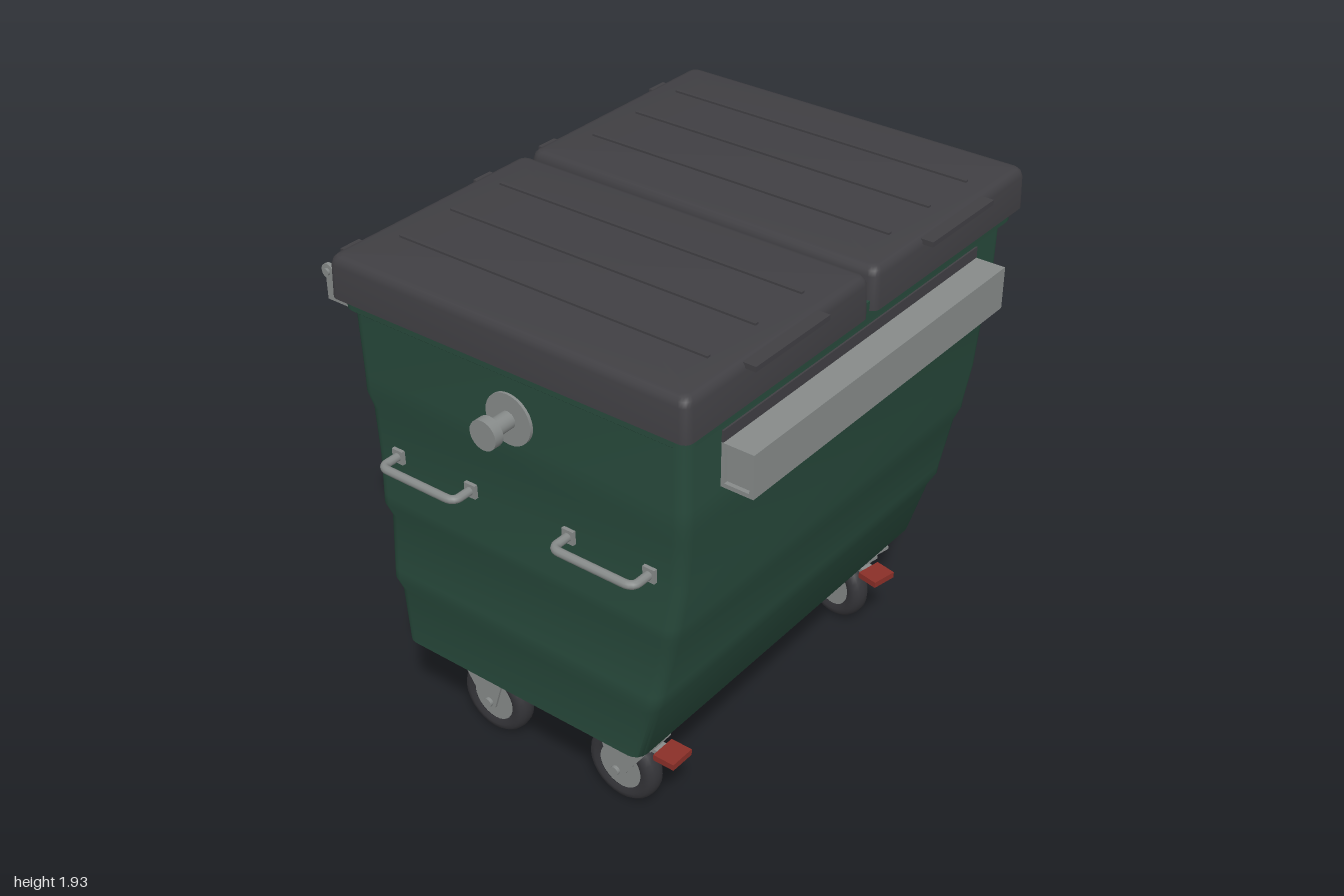
import * as THREE from 'three';
import { toCreasedNormals } from 'three/addons/utils/BufferGeometryUtils.js';

const paint = (name, color) => Object.assign(new THREE.MeshStandardMaterial({ color }), { name });

export function createModel() {
  const green = paint('bin green', 0x284a3c);
  const black = paint('lid black', 0x403f43);
  const rubber = paint('tyre rubber', 0x343438);
  const steel = paint('galvanised steel', 0x868a89);
  const red = paint('brake red', 0x8a2f28);
  const model = new THREE.Group();
  model.name = 'wheeledWasteContainer';

  const add = (parent, name, geo, mat, x = 0, y = 0, z = 0) => {
    const m = new THREE.Mesh(geo, mat);
    m.name = name;
    m.position.set(x, y, z);
    parent.add(m);
    return m;
  };
  const box = (parent, name, mat, w, h, d, x, y, z) =>
    add(parent, name, new THREE.BoxGeometry(w, h, d), mat, x, y, z);
  // cylinder lying along x
  const rod = (parent, name, mat, r, len, x, y, z, sides = 20) =>
    add(parent, name, new THREE.CylinderGeometry(r, r, len, sides).rotateZ(Math.PI / 2), mat, x, y, z);

  // closed solid through rounded rectangles, each ring [y, x0, x1, z0, z1, cornerRadius]
  function loft(rings, crease) {
    const pos = [], idx = [], seg = 4, n = 4 * (seg + 1);
    for (const [y, x0, x1, z0, z1, r] of rings) {
      for (let c = 0; c < 4; c++) {
        const cx = c === 0 || c === 3 ? x1 - r : x0 + r;
        const cz = c < 2 ? z0 + r : z1 - r;
        for (let s = 0; s <= seg; s++) {
          const a = (c + s / seg) * Math.PI / 2;
          pos.push(cx + r * Math.cos(a), y, cz - r * Math.sin(a));
        }
      }
    }
    const last = rings.length - 1;
    for (const k of [0, last]) {
      const [y, x0, x1, z0, z1] = rings[k];
      pos.push((x0 + x1) / 2, y, (z0 + z1) / 2);
    }
    const bottom = n * rings.length, top = bottom + 1;
    for (let j = 0; j < n; j++) {
      const k = (j + 1) % n;
      for (let i = 0; i < last; i++) {
        const a = i * n + j, b = i * n + k;
        idx.push(a, b, b + n, a, b + n, a + n);
      }
      idx.push(bottom, k, j, top, last * n + j, last * n + k);
    }
    const g = new THREE.BufferGeometry();
    g.setAttribute('position', new THREE.Float32BufferAttribute(pos, 3));
    g.setIndex(idx);
    return toCreasedNormals(g, crease);
  }

  // tapered tub with three swages and a rim: [y, half width, front z, back z]
  const tub = [
    [0.385, 0.81, 0.41, -0.605], [0.4, 0.825, 0.424, -0.617], [0.63, 0.836, 0.492, -0.621],
    [0.68, 0.851, 0.519, -0.637], [0.72, 0.849, 0.525, -0.637], [0.94, 0.842, 0.573, -0.631],
    [0.99, 0.858, 0.592, -0.646], [1.03, 0.857, 0.597, -0.646], [1.18, 0.856, 0.624, -0.642],
    [1.37, 0.861, 0.639, -0.646], [1.43, 0.874, 0.653, -0.658], [1.5, 0.874, 0.654, -0.658],
    [1.725, 0.88, 0.657, -0.66], [1.745, 0.903, 0.681, -0.673], [1.82, 0.905, 0.683, -0.675],
  ];
  add(model, 'tub', loft(tub.map(([y, h, f, b]) => [y, -h, h, b, f, 0.045]), 0.7), green);

  // undercarriage strips that carry the castors
  for (const z of [0.285, -0.44]) box(model, 'baseStrip', black, 1.55, 0.025, 0.2, 0, 0.375, z);

  // front lifting bar: box tube with recessed ends, and the dark strip above it
  const section = new THREE.Shape([[-0.06, -0.077], [0.06, -0.077], [0.06, 0.077], [-0.06, 0.077]]
    .map(p => new THREE.Vector2(...p)));
  section.holes.push(new THREE.Path([[-0.045, -0.062], [-0.045, 0.062], [0.045, 0.062], [0.045, -0.062]]
    .map(p => new THREE.Vector2(...p))));
  add(model, 'liftingBar', new THREE.ExtrudeGeometry(section, { depth: 1.41, bevelEnabled: false })
    .translate(0, 0, -0.705).rotateY(Math.PI / 2), steel, 0, 1.592, 0.712);
  box(model, 'liftingBarCore', steel, 1.38, 0.13, 0.1, 0, 1.592, 0.712);
  box(model, 'liftingBarFlange', black, 1.41, 0.04, 0.008, 0, 1.69, 0.659);

  for (const s of [-1, 1]) {
    const side = s > 0 ? 'left' : 'right';

    // lid half with ribs, front grip and hinge knuckles
    const lid = new THREE.Group();
    lid.name = side + 'Lid';
    model.add(lid);
    const ring = (y, i, r) => {
      const a = s * (0.012 + i), b = s * (0.928 - i);
      return [y, Math.min(a, b), Math.max(a, b), -0.695 + i, 0.703 - i, r];
    };
    add(lid, 'lidShell', loft([ring(1.785, 0, 0.03), ring(1.9, 0.003, 0.03), ring(1.918, 0.008, 0.03),
      ring(1.928, 0.018, 0.025), ring(1.931, 0.032, 0.02)], 0.7), black);
    for (const x of [0.237, 0.47, 0.7]) box(lid, 'lidRib', black, 0.014, 0.014, 1.2, s * x, 1.931, 0.005);
    box(lid, 'lidGrip', black, 0.37, 0.018, 0.06, s * 0.468, 1.916, 0.705);
    for (const x of [0.165, 0.775]) {
      box(lid, 'hingeArm', black, 0.08, 0.045, 0.07, s * x, 1.865, -0.715);
      rod(lid, 'hingeKnuckle', black, 0.03, 0.08, s * x, 1.845, -0.74);
    }

    // hinge rod brackets
    for (const x of [0.03, 0.88]) {
      box(model, 'hingeBracket', steel, 0.012, 0.1, 0.09, s * x, 1.79, -0.705);
      rod(model, 'hingeEye', steel, 0.026, 0.014, s * x, 1.84, -0.74);
    }

    // lifting trunnion
    const trunnion = new THREE.Group();
    trunnion.name = side + 'Trunnion';
    model.add(trunnion);
    rod(trunnion, 'flange', steel, 0.09, 0.03, s * 0.873, 1.58, -0.006, 28);
    rod(trunnion, 'pin', steel, 0.03, 0.12, s * 0.92, 1.58, -0.006);
    rod(trunnion, 'pinHead', steel, 0.052, 0.035, s * 0.9825, 1.58, -0.006, 24);

    // grab handles
    for (const z of [0.355, -0.365]) {
      const path = new THREE.CurvePath();
      const p = (x, dz) => new THREE.Vector3(s * x, 1.225, z + dz);
      path.add(new THREE.LineCurve3(p(0.845, 0.158), p(0.92, 0.158)));
      path.add(new THREE.QuadraticBezierCurve3(p(0.92, 0.158), p(0.945, 0.155), p(0.945, 0.125)));
      path.add(new THREE.LineCurve3(p(0.945, 0.125), p(0.945, -0.125)));
      path.add(new THREE.QuadraticBezierCurve3(p(0.945, -0.125), p(0.945, -0.155), p(0.92, -0.158)));
      path.add(new THREE.LineCurve3(p(0.92, -0.158), p(0.845, -0.158)));
      add(model, 'grabHandle', new THREE.TubeGeometry(path, 48, 0.015, 10), steel);
      for (const d of [-0.158, 0.158]) box(model, 'handlePlate', steel, 0.02, 0.05, 0.045, s * 0.861, 1.225, z + d);
    }
  }
  rod(model, 'hingeRod', steel, 0.012, 1.79, 0, 1.84, -0.74, 12);

  // castor, with its origin on the floor under the swivel and the wheel trailing to -z
  const tyre = new THREE.LatheGeometry([[0.088, -0.034], [0.108, -0.042], [0.128, -0.037], [0.14, -0.022],
    [0.144, 0], [0.14, 0.022], [0.128, 0.037], [0.108, 0.042], [0.088, 0.034]]
    .map(p => new THREE.Vector2(...p)), 28).rotateZ(Math.PI / 2);
  const forkShape = new THREE.Shape([[0.065, 0.32], [-0.125, 0.32], [-0.125, 0.28], [-0.025, 0.13],
    [0, 0.118], [0.025, 0.13], [0.065, 0.26]].map(p => new THREE.Vector2(p[0] + 0.075, p[1])));
  const fork = new THREE.ExtrudeGeometry(forkShape, { depth: 0.01, bevelEnabled: false })
    .translate(0, 0, -0.005).rotateY(Math.PI / 2);
  function castor(x, z, turn, brake) {
    const c = new THREE.Group();
    c.name = brake ? 'brakedCastor' : 'castor';
    c.position.set(x, 0, z);
    c.rotation.y = turn;
    model.add(c);
    add(c, 'tyre', tyre, rubber, 0, 0.149, -0.075);
    rod(c, 'hub', steel, 0.092, 0.06, 0, 0.149, -0.075, 28);
    rod(c, 'axle', steel, 0.018, 0.14, 0, 0.149, -0.075, 12);
    for (const s of [-1, 1]) add(c, 'forkPlate', fork, steel, s * 0.052, 0, 0);
    box(c, 'forkCrown', steel, 0.11, 0.015, 0.15, 0, 0.314, 0);
    add(c, 'swivel', new THREE.CylinderGeometry(0.075, 0.06, 0.035, 24), steel, 0, 0.336, 0);
    box(c, 'topPlate', steel, 0.17, 0.013, 0.2, 0, 0.358, 0);
    if (brake) {
      box(c, 'brakePedal', red, 0.1, 0.024, 0.085, 0, 0.286, 0.125);
      box(c, 'brakeArm', steel, 0.05, 0.016, 0.09, 0, 0.286, 0.06);
    }
  }
  for (const s of [-1, 1]) {
    const turn = s > 0 ? -0.2 : 0;
    castor(s * 0.635, 0.29, turn, true);
    castor(s * 0.635, -0.44, Math.PI + turn, false);
  }
  return model;
}
